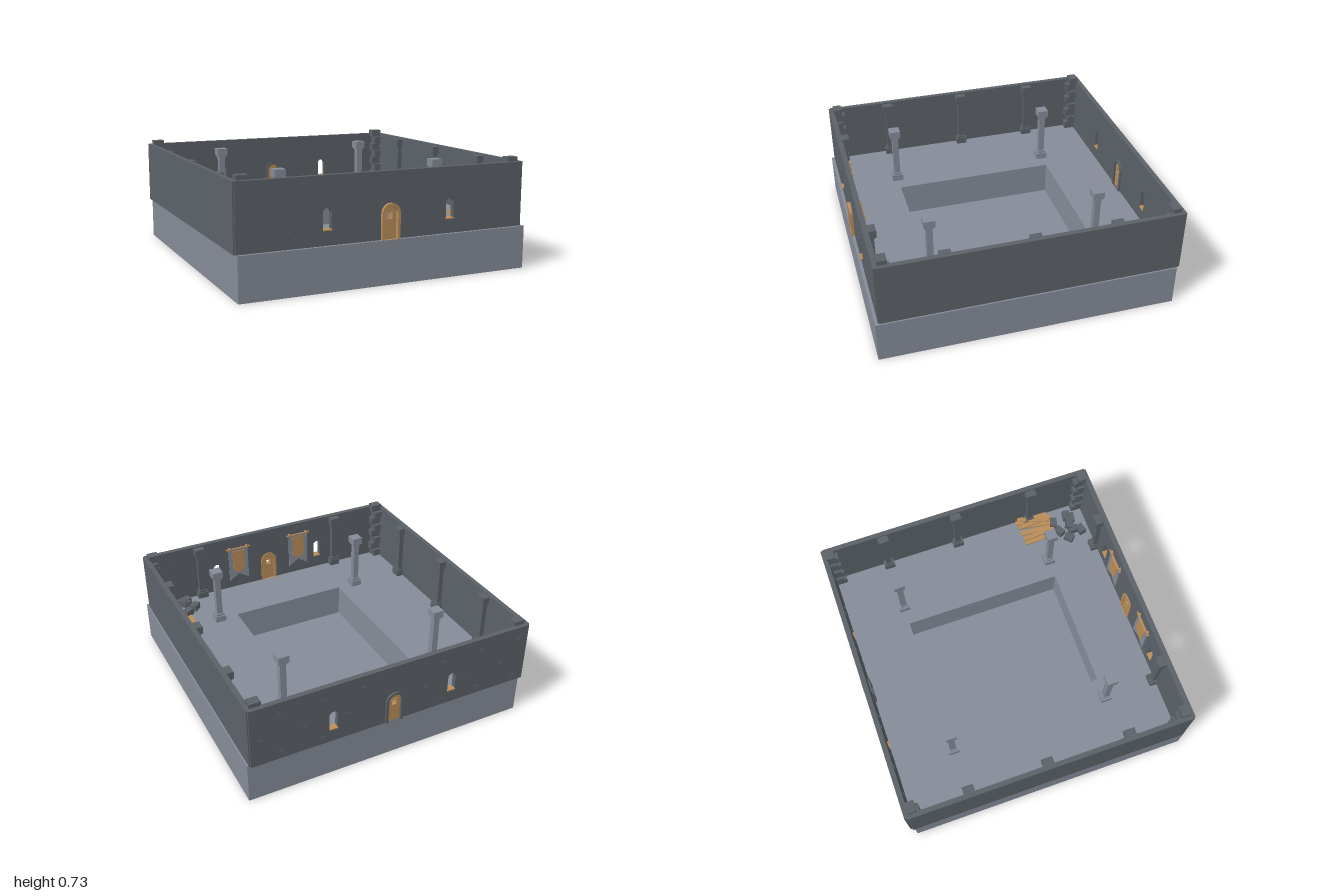
import * as THREE from 'three';

const mat = (name, color) => {
  const m = new THREE.MeshStandardMaterial({ color });
  m.name = name;
  return m;
};

export function createModel() {
  const root = new THREE.Group();
  root.name = 'walledHall';
  const floorStone = mat('floorStone', 0x858b98);
  const wallStone = mat('wallStone', 0x5c6269);
  const wood = mat('wood', 0xb98d5a);

  const FLOOR = 0.28, TOP = 0.7, DOOR_X = 0.005;

  const add = (name, geo, material, parent = root) => {
    const m = new THREE.Mesh(geo, material);
    m.name = name;
    parent.add(m);
    return m;
  };
  // Box given by its lowest and highest corners
  const box = (name, material, x0, x1, y0, y1, z0, z1, parent) => {
    const m = add(name, new THREE.BoxGeometry(x1 - x0, y1 - y0, z1 - z0), material, parent);
    m.position.set((x0 + x1) / 2, (y0 + y1) / 2, (z0 + z1) / 2);
    return m;
  };
  const rect = (P, x0, y0, x1, y1) => {
    const p = new P();
    p.moveTo(x0, y0).lineTo(x1, y0).lineTo(x1, y1).lineTo(x0, y1).closePath();
    return p;
  };
  // Round-headed outline, y1 is the crown
  const arch = (P, cx, half, y0, y1) => {
    const p = new P();
    p.moveTo(cx - half, y0).lineTo(cx + half, y0).lineTo(cx + half, y1 - half);
    p.absarc(cx, y1 - half, half, 0, Math.PI, false);
    p.closePath();
    return p;
  };
  const extrude = (name, shape, z0, z1, material, parent) => {
    const geo = new THREE.ExtrudeGeometry(shape, { depth: z1 - z0, bevelEnabled: false, curveSegments: 8 });
    geo.translate(0, 0, z0);
    return add(name, geo, material, parent);
  };

  // Foundation with a sunken pit
  const slab = rect(THREE.Shape, -0.975, -1.0, 0.985, 0.965);
  slab.holes.push(rect(THREE.Path, -0.42, -0.567, 0.425, 0.555));
  extrude('foundation', slab, 0, FLOOR, floorStone).rotation.x = -Math.PI / 2;
  box('pitFloor', floorStone, -0.42, 0.425, 0, 0.05, -0.555, 0.567);

  // Side walls
  box('wallLeftSide', wallStone, 0.942, 0.975, FLOOR, TOP, -0.975, 0.97);
  box('wallRightSide', wallStone, -0.99, -0.958, FLOOR, TOP, -0.975, 0.97);

  // Front and back walls, each with a door and two windows
  const windows = [-0.413, 0.427];
  const doorWall = (name, z0, z1, frameZ0, frameZ1, frameMat) => {
    const g = new THREE.Group();
    g.name = name;
    root.add(g);
    const shape = rect(THREE.Shape, -0.98, FLOOR, 0.968, TOP);
    shape.holes.push(arch(THREE.Path, DOOR_X, 0.05, FLOOR + 0.0005, 0.49));
    for (const x of windows) shape.holes.push(arch(THREE.Path, x, 0.028, 0.375, 0.505));
    extrude('wall', shape, z0, z1, wallStone, g);

    const frame = arch(THREE.Shape, DOOR_X, 0.062, FLOOR, 0.505);
    frame.holes.push(arch(THREE.Path, DOOR_X, 0.044, FLOOR + 0.0005, 0.487));
    extrude('doorFrame', frame, frameZ0, frameZ1, frameMat, g);

    const leaf = arch(THREE.Shape, DOOR_X, 0.046, FLOOR, 0.489);
    leaf.holes.push(rect(THREE.Path, DOOR_X - 0.016, 0.407, DOOR_X + 0.016, 0.443));
    extrude('doorLeaf', leaf, z0 + 0.004, z1 - 0.004, wood, g);

    const grille = rect(THREE.Shape, DOOR_X - 0.024, 0.399, DOOR_X + 0.024, 0.451);
    grille.holes.push(rect(THREE.Path, DOOR_X - 0.016, 0.407, DOOR_X + 0.016, 0.443));
    extrude('doorHatchFrame', grille, z0, z1, wood, g);

    for (const x of windows) {
      box('windowSill', wood, x - 0.028, x + 0.028, 0.372, 0.379, frameZ0 + 0.004, frameZ1 - 0.006, g);
    }
    // Small raised stones on both faces
    for (let i = 0; i < 7; i++) {
      const x = -0.9 + i * 0.28;
      for (const y of [0.33, 0.46, 0.615]) {
        const sx = y === 0.46 ? x + 0.12 : x;
        if (sx > 0.95 || Math.abs(sx - DOOR_X) < 0.08 || windows.some(w => Math.abs(sx - w) < 0.05)) continue;
        box('raisedStone', wallStone, sx - 0.012, sx + 0.012, y - 0.007, y + 0.007, z0 - 0.004, z1 + 0.004, g);
      }
    }
  };
  doorWall('frontWall', 0.945, 0.98, 0.937, 1.0, wood);
  doorWall('backWall', -0.988, -0.955, -1.0, -0.943, wallStone);

  // Pillars: plinth, shaft, neck and cap
  const pillar = (name, x, z, material) => {
    const g = new THREE.Group();
    g.name = name;
    g.position.set(x, FLOOR, z);
    root.add(g);
    const parts = [['plinth', 0.076, 0, 0.045], ['foot', 0.058, 0.045, 0.06], ['shaft', 0.042, 0.06, 0.345],
      ['neck', 0.056, 0.345, 0.36], ['cap', 0.074, 0.36, 0.41]];
    for (const [n, w, y0, y1] of parts) box(n, material, -w / 2, w / 2, y0, y1, -w / 2, w / 2, g);
  };
  for (const x of [-0.555, 0.566]) {
    for (const z of [-0.553, 0.567]) pillar('freePillar', x, z, floorStone);
    pillar('frontWallPillar', x, 0.933, wallStone);
  }
  for (const z of [-0.553, -0.02, 0.545]) {
    pillar('rightWallPillar', -0.946, z, wallStone);
    pillar('leftWallPillar', 0.93, z, wallStone);
  }

  // Corner stacks of alternating blocks
  for (const [cx, cz] of [[-0.962, -0.962], [0.95, -0.962], [-0.962, 0.952], [0.95, 0.952]]) {
    const sx = -Math.sign(cx), sz = -Math.sign(cz), h = 0.45 / 8;
    for (let i = 0; i < 8; i++) {
      const w = i % 2 ? 0.075 : 0.06, d = i % 2 ? 0.06 : 0.08;
      const b = add('cornerBlock', new THREE.BoxGeometry(w, h - 0.003, d), wallStone);
      b.position.set(cx + sx * w / 2, FLOOR + h * (i + 0.5), cz + sz * d / 2);
    }
  }

  // Hanging banners on the inside of the front wall
  for (const x of [-0.245, 0.255]) {
    const tail = (half, top, side, notch) => {
      const s = new THREE.Shape();
      s.moveTo(x - half, top).lineTo(x - half, side).lineTo(x, notch).lineTo(x + half, side).lineTo(x + half, top);
      s.closePath();
      return s;
    };
    extrude('bannerCloth', tail(0.078, 0.61, 0.345, 0.395), 0.932, 0.938, floorStone);
    extrude('bannerPanel', tail(0.048, 0.595, 0.44, 0.405), 0.928, 0.932, wood);
    const rod = add('bannerRod', new THREE.CylinderGeometry(0.007, 0.007, 0.19, 8), wood);
    rod.rotation.z = Math.PI / 2;
    rod.position.set(x, 0.613, 0.933);
    for (const s of [-0.07, 0.07]) {
      box('rodBracket', wood, x + s - 0.008, x + s + 0.008, 0.602, 0.624, 0.925, 0.947);
    }
  }

  // Fallen blocks: x, z, turn, lift
  const rubble = [[0.68, 0.775, 0.8, 0], [0.75, 0.725, 0.5, 0], [0.83, 0.705, -0.3, 0], [0.73, 0.825, 0.1, 0.01],
    [0.715, 0.88, 0.25, 0], [0.82, 0.835, -0.15, 0.02], [0.77, 0.805, -0.4, 0.035], [0.855, 0.815, -0.2, 0]];
  rubble.forEach(([x, z, turn, lift], i) => {
    const b = add('fallenBlock', new THREE.BoxGeometry(0.068, 0.045, 0.05), wallStone);
    b.position.set(x, FLOOR + 0.024 + lift, z);
    b.rotation.set(lift * 6, turn + (i === 3 ? Math.PI / 2 : 0), lift * 4);
  });

  // Heap of loose planks: x, z, turn, lift
  const planks = [[0.752, 0.575, 0.02, 0], [0.785, 0.575, 0.07, 0.012], [0.823, 0.57, -0.05, 0.005],
    [0.862, 0.565, -0.12, 0.018], [0.9, 0.57, -0.28, 0.034], [0.925, 0.56, 0.04, 0.006], [0.88, 0.58, 0.08, 0.026]];
  for (const [x, z, turn, lift] of planks) {
    const p = add('loosePlank', new THREE.BoxGeometry(0.034, 0.011, 0.245), wood);
    p.position.set(x, FLOOR + 0.008 + lift, z);
    p.rotation.set(lift * 2, turn, 0);
  }
  return root;
}
